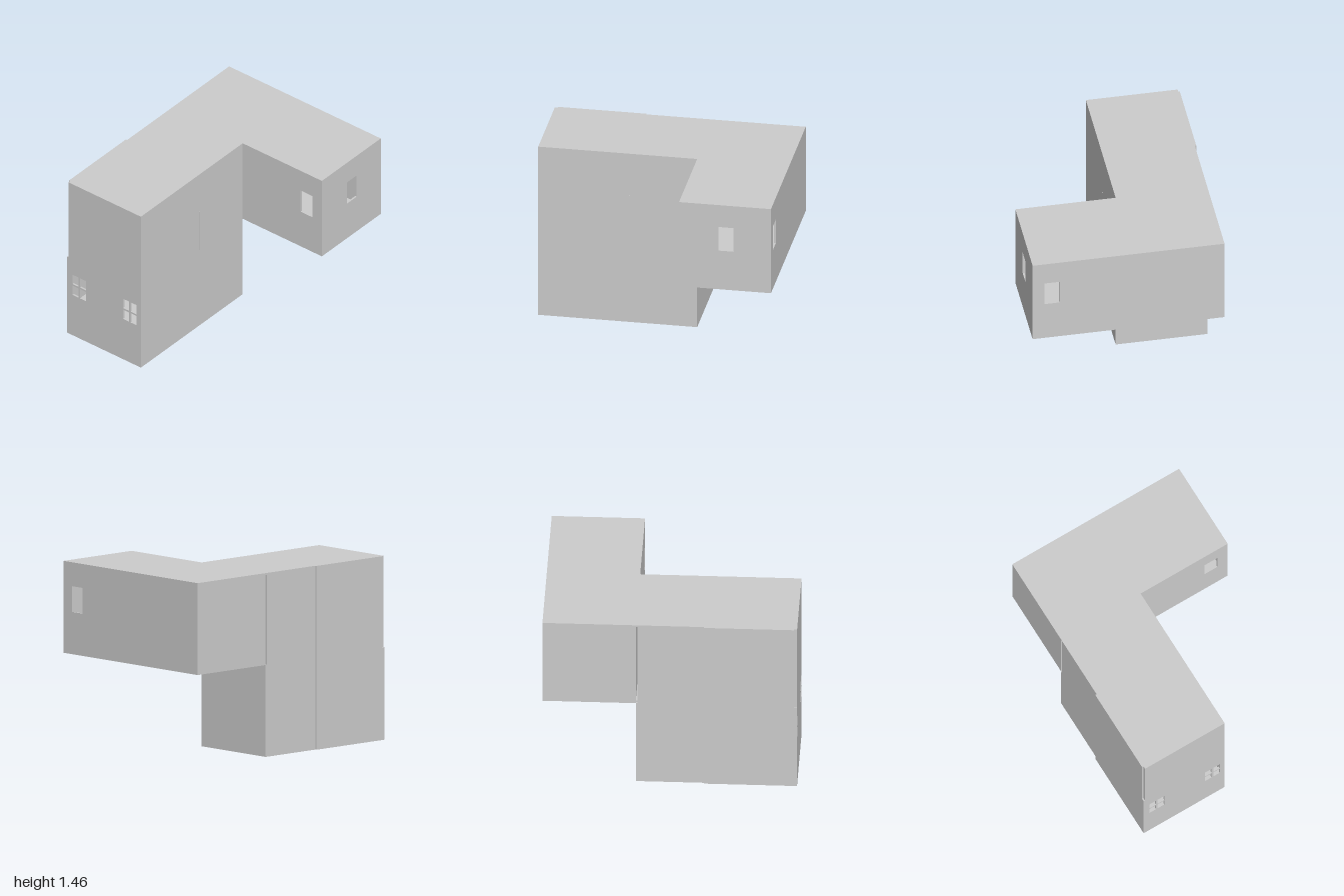
import * as THREE from 'three';

const T = 0.015; // wall thickness
const H = 1.46, MID = 0.73; // roof height, upper storey level
const BACK = -0.762, FRONT = -0.03, WING = 0.77; // z of main block and wing end
const INNER = 0.267, SPLIT = -0.27; // x of the wing's inner face and the partition

export function createModel() {
  const model = new THREE.Group();
  const material = new THREE.MeshStandardMaterial({ color: 0xcccccc });

  const add = (name, geometry) => {
    const mesh = new THREE.Mesh(geometry, material);
    mesh.name = name;
    model.add(mesh);
  };

  // Horizontal slab from its limits
  const slab = (name, x0, x1, y0, z0, z1, thick = T) => {
    const g = new THREE.BoxGeometry(x1 - x0, thick, z1 - z0);
    add(name, g.translate((x0 + x1) / 2, y0 + thick / 2, (z0 + z1) / 2));
  };

  // Upright wall with rectangular holes [u0, u1, y0, y1]; 'x' or 'z' is its normal
  const wall = (name, normal, at, u0, u1, y0, y1, holes = [], thick = T) => {
    const rect = (path, a, b, c, d) =>
      path.moveTo(a, c).lineTo(b, c).lineTo(b, d).lineTo(a, d).closePath();
    const shape = new THREE.Shape();
    rect(shape, u0, u1, y0, y1);
    for (const h of holes) {
      const path = new THREE.Path();
      rect(path, ...h);
      shape.holes.push(path);
    }
    const g = new THREE.ExtrudeGeometry(shape, { depth: thick, bevelEnabled: false });
    if (normal === 'x') g.rotateY(-Math.PI / 2).translate(at + thick, 0, 0);
    else g.translate(0, 0, at);
    add(name, g);
  };

  // Four panes of a cross-barred window
  const panes = (z0) => {
    const list = [];
    for (const dz of [0, 0.075])
      for (const dy of [0, 0.105])
        list.push([z0 + dz, z0 + dz + 0.06, 0.39 + dy, 0.48 + dy]);
    return list;
  };

  // Main two-storey block
  wall('endWall', 'x', -1, BACK, FRONT, 0, H - T, [...panes(-0.72), ...panes(-0.21)]);
  wall('mainFrontWall', 'z', FRONT - T, -1 + T, INNER, 0, H - T);
  wall('mainBackWall', 'z', BACK, -1 + T, INNER - T, 0, H - T);
  wall('lowerInnerWall', 'x', INNER - T, BACK, FRONT - T, 0, MID);
  wall('partition', 'x', SPLIT, BACK + T, FRONT - T, T, MID);
  slab('lowerFloor', SPLIT, INNER - T, 0, BACK + T, FRONT - T);
  slab('raisedFloor', -1 + T, SPLIT, 0.26, BACK + T, FRONT - T);
  slab('upperFloor', -1 + T, INNER, MID, BACK + T, FRONT - T);
  slab('mainRoof', -1, INNER, H - T, BACK, FRONT);

  // Back cladding, stopping short of the corner on the upper storey
  wall('lowerBackPanel', 'z', BACK - 0.012, -1, SPLIT, 0, MID + 0.005, [], 0.012);
  wall('upperBackPanel', 'z', BACK - 0.012, -0.975, SPLIT, MID + 0.005, H, [], 0.012);

  // Narrow strip on the front of the main block
  wall('frontStrip', 'z', FRONT, SPLIT - 0.005, SPLIT + 0.005, MID, 1.1, [], 0.003);

  // Upper wing with windows near its free end
  const sideWindow = [0.555, 0.675, 1.065, 1.27];
  wall('wingOuterWall', 'x', 1 - T, BACK, WING, MID, H - T, [sideWindow]);
  wall('wingInnerWall', 'x', INNER, BACK, WING, MID, H - T, [sideWindow]);
  wall('wingFrontWall', 'z', WING - T, INNER + T, 1 - T, MID, H - T, [[0.58, 0.7, 1.065, 1.27]]);
  wall('wingBackWall', 'z', BACK, INNER + T, 1 - T, MID, H - T);
  slab('wingFloor', INNER + T, 1 - T, MID, BACK + T, WING - T);
  slab('wingRoof', INNER, 1, H - T, BACK, WING);

  return model;
}
